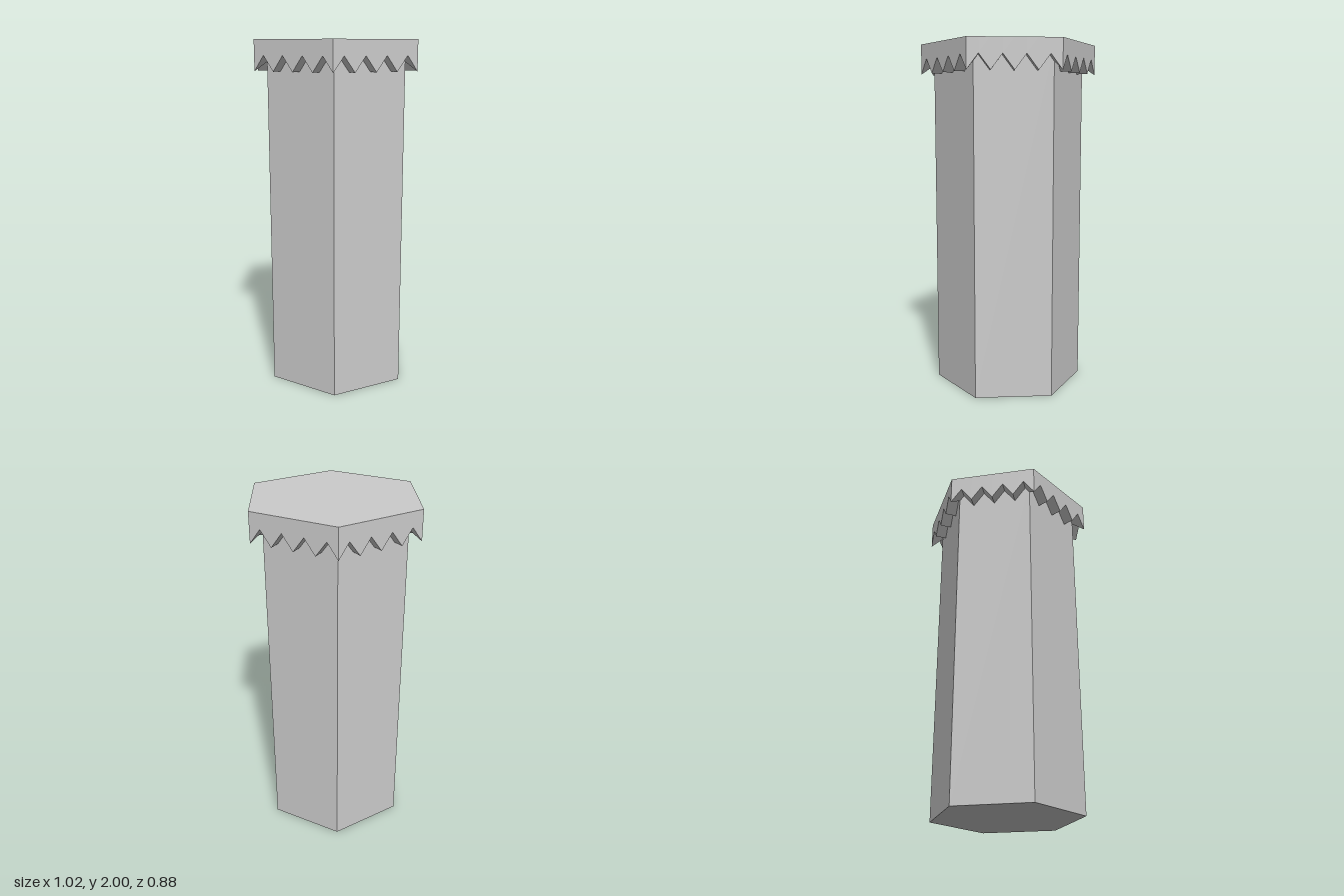
import * as THREE from 'three';

const TOP = 2, TIP = 1.83, NOTCH = 1.915;   // heights of cap top, tooth tips, notch peaks
const CAP_R = 0.51, COLUMN_R = 0.435;       // corner radii
const TEETH = 4;                            // notches per side
const APOTHEM = Math.cos(Math.PI / 6);

// One side of the cap: outer face with a zigzag lower edge, and the notch
// surfaces running straight in to the column, mitred at the corners.
function capSideGeometry() {
  const outerZ = CAP_R * APOTHEM, innerZ = COLUMN_R * APOTHEM;
  const step = CAP_R / (TEETH * 2);
  const positions = [];
  const quad = (a, b, c, d) => positions.push(...a, ...b, ...c, ...a, ...c, ...d);

  for (let i = 0; i < TEETH * 2; i++) {
    const x0 = -CAP_R / 2 + i * step, x1 = x0 + step;
    const y0 = i % 2 ? NOTCH : TIP, y1 = i % 2 ? TIP : NOTCH;
    const inner = (x) => {
      const cx = THREE.MathUtils.clamp(x, -COLUMN_R / 2, COLUMN_R / 2);
      return [cx, THREE.MathUtils.mapLinear(cx, x0, x1, y0, y1), innerZ];
    };
    const a = [x0, y0, outerZ], b = [x1, y1, outerZ];
    quad(a, b, [x1, TOP, outerZ], [x0, TOP, outerZ]);
    quad(a, inner(x0), inner(x1), b);
  }

  const geometry = new THREE.BufferGeometry();
  geometry.setAttribute('position', new THREE.Float32BufferAttribute(positions, 3));
  geometry.computeVertexNormals();
  return geometry;
}

export function createModel() {
  const model = new THREE.Group();
  model.name = 'hexagonalColumn';
  const material = new THREE.MeshStandardMaterial({ color: 0xcccccc, flatShading: true });

  // Six-sided shaft, running up into the cap
  const height = 1.96;
  const column = new THREE.Mesh(
    new THREE.CylinderGeometry(COLUMN_R, COLUMN_R, height, 6, 1, false, Math.PI / 6), material);
  column.name = 'column';
  column.position.y = height / 2;
  model.add(column);

  // Cap: flat top and six toothed sides
  const cap = new THREE.Group();
  cap.name = 'cap';
  const capTop = new THREE.Mesh(new THREE.CircleGeometry(CAP_R, 6), material);
  capTop.name = 'capTop';
  capTop.rotation.x = -Math.PI / 2;
  capTop.position.y = TOP;
  cap.add(capTop);

  const sideGeometry = capSideGeometry();
  for (let i = 0; i < 6; i++) {
    const side = new THREE.Mesh(sideGeometry, material);
    side.name = `toothedSide${i + 1}`;
    side.rotation.y = i * Math.PI / 3;
    cap.add(side);
  }
  model.add(cap);
  return model;
}
